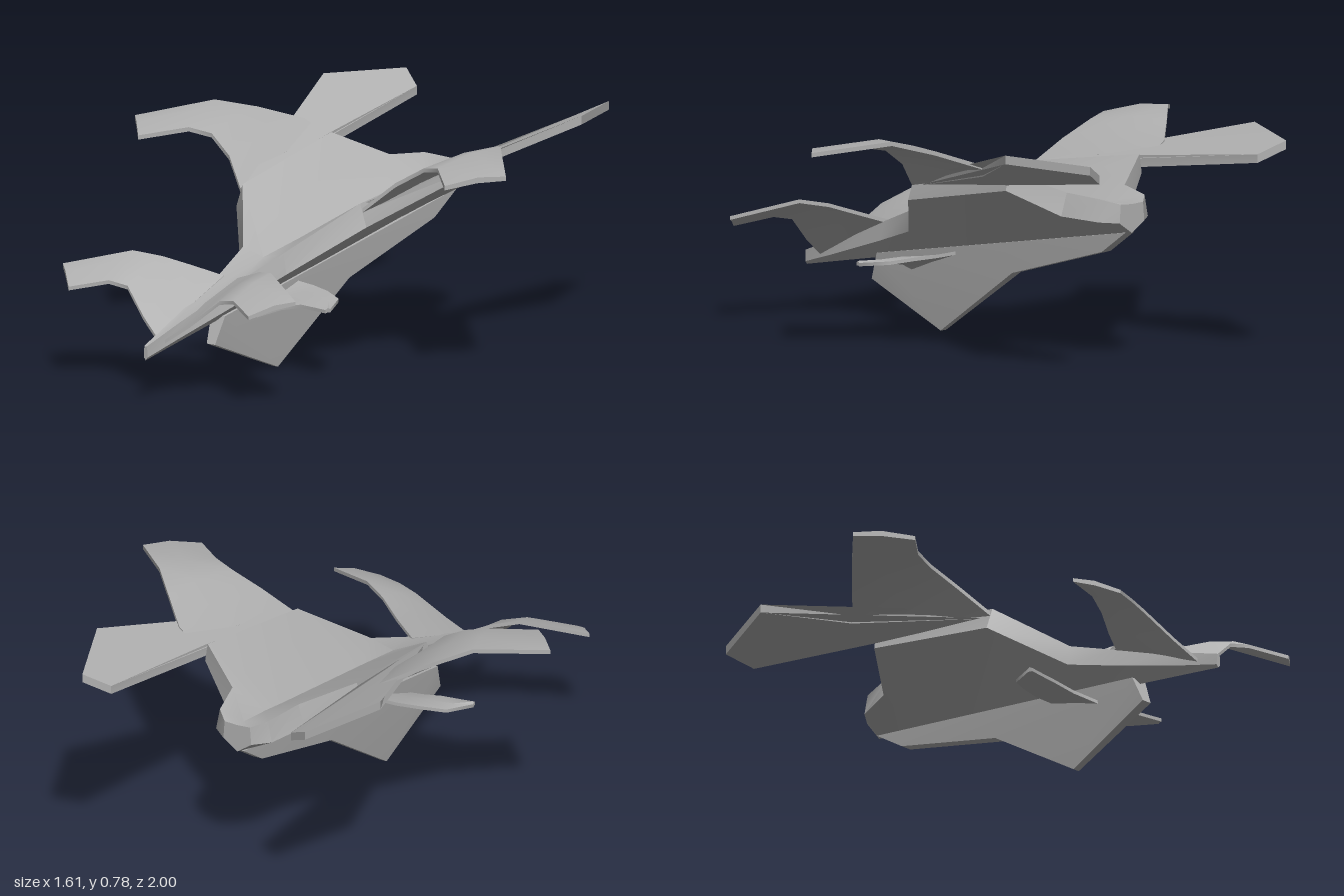
import * as THREE from 'three';
import { toCreasedNormals } from 'three/addons/utils/BufferGeometryUtils.js';

const gray = new THREE.MeshStandardMaterial({ color: 0xb0b0b0 });
gray.name = 'hull gray';

// Skin a row of closed rings of [x, y, z] points, with both ends capped.
function loft(rings, crease = 0.6) {
  const tris = [];
  const n = rings[0].length;
  for (let i = 0; i < rings.length - 1; i++) {
    for (let j = 0; j < n; j++) {
      const k = (j + 1) % n;
      const [a, b, c, d] = [rings[i][j], rings[i][k], rings[i + 1][k], rings[i + 1][j]];
      tris.push([a, b, c], [a, c, d]);
    }
  }
  const last = rings[rings.length - 1];
  for (let j = 1; j < n - 1; j++) {
    tris.push([rings[0][0], rings[0][j + 1], rings[0][j]], [last[0], last[j], last[j + 1]]);
  }
  // Turn the skin outward if the rings run the other way round.
  let volume = 0;
  for (const [a, b, c] of tris) {
    volume += new THREE.Vector3(...a).dot(new THREE.Vector3(...b).cross(new THREE.Vector3(...c)));
  }
  if (volume < 0) tris.forEach(t => t.reverse());
  const geometry = new THREE.BufferGeometry();
  geometry.setAttribute('position', new THREE.Float32BufferAttribute(tris.flat(2), 3));
  return toCreasedNormals(geometry, crease);
}

// Thin wing from [front point, back point] pairs running root to tip.
function wingRings(pairs, side, thickness, bulge) {
  return pairs.map(([f, b]) => {
    const m = f.map((v, i) => v * 0.45 + b[i] * 0.55);
    const up = (p, dy) => [p[0] * side, p[1] + dy, p[2]];
    const t = thickness;
    return [up(f, 0), up(m, bulge), up(b, 0), up(b, -t), up(m, bulge - t * 1.3), up(f, -t)];
  });
}

export function createModel() {
  const model = new THREE.Group();
  const add = (name, geometry) => {
    const mesh = new THREE.Mesh(geometry, gray);
    mesh.name = name;
    model.add(mesh);
  };

  // Body: z, deck centre y, deck edge x y, hull edge x y, keel y
  const stations = [
    [1.0, 0.193, 0.006, 0.195, 0.008, 0.155, 0.145],
    [0.85, 0.245, 0.018, 0.247, 0.024, 0.197, 0.173],
    [0.54, 0.35, 0.05, 0.353, 0.07, 0.288, 0.23],
    [0.35, 0.395, 0.088, 0.42, 0.1, 0.347, 0.266],
    [0.14, 0.43, 0.255, 0.58, 0.282, 0.5, 0.304],
    [-0.4, 0.515, 0.295, 0.665, 0.305, 0.6, 0.404],
    [-0.515, 0.535, 0.13, 0.59, 0.155, 0.51, 0.425],
    [-0.66, 0.555, 0.095, 0.578, 0.11, 0.502, 0.452],
    [-0.705, 0.56, 0.05, 0.563, 0.055, 0.498, 0.46],
  ];
  add('body', loft(stations.map(([z, cy, dx, dy, hx, hy, ky]) => [
    [0, ky, z], [hx, hy, z], [dx, dy, z], [0, cy, z], [-dx, dy, z], [-hx, hy, z],
  ])));

  // Ventral fin: z, y, half width
  const fin = [
    [0.6, 0.235, 0.03], [0.64, 0.14, 0.018], [0.285, 0.003, 0.012],
    [-0.1, 0.25, 0.02], [-0.57, 0.38, 0.02], [-0.695, 0.462, 0.02],
  ];
  add('ventralFin', loft([1, -1].map(s => fin.map(([z, y, w]) => [s * w, y, z]))));

  const mainWing = [
    [[0.265, 0.565, 0.14], [0.35, 0.665, -0.41]],
    [[0.36, 0.655, 0.08], [0.41, 0.7, -0.395]],
    [[0.46, 0.715, 0.05], [0.52, 0.745, -0.28]],
    [[0.54, 0.73, 0.075], [0.62, 0.775, -0.17]],
    [[0.665, 0.705, 0.195], [0.805, 0.73, 0.035]],
  ];
  const foreWing = [
    [[0.01, 0.2, 0.915], [0.03, 0.357, 0.53]],
    [[0.1, 0.265, 0.885], [0.12, 0.388, 0.58]],
    [[0.2, 0.352, 0.845], [0.21, 0.42, 0.64]],
    [[0.27, 0.365, 0.86], [0.3, 0.437, 0.69]],
    [[0.39, 0.338, 0.93], [0.505, 0.385, 0.815]],
  ];
  const lowerFin = [
    [[0.01, 0.205, 0.43], [0.02, 0.29, 0.19]],
    [[0.1, 0.24, 0.38], [0.1, 0.285, 0.2]],
    [[0.18, 0.257, 0.372], [0.18, 0.28, 0.225]],
    [[0.25, 0.257, 0.382], [0.26, 0.27, 0.265]],
    [[0.3, 0.257, 0.39], [0.305, 0.257, 0.37]],
  ];
  // Rear blade: outline of the upper face, front to back and round
  const blade = [
    [0.25, 0.575, 0.14], [0.305, 0.66, -0.4], [0.355, 0.725, -0.95],
    [0.44, 0.77, -1.0], [0.56, 0.785, -0.695], [0.41, 0.69, -0.4],
  ];

  for (const [label, side] of [['left', 1], ['right', -1]]) {
    add(label + 'MainWing', loft(wingRings(mainWing, side, 0.015, 0.012), 0.75));
    add(label + 'ForeWing', loft(wingRings(foreWing, side, 0.013, 0.01), 0.75));
    add(label + 'LowerFin', loft(wingRings(lowerFin, side, 0.012, 0.006), 0.75));
    add(label + 'RearBlade', loft([0, -0.03].map(dy =>
      blade.map(([x, y, z]) => [x * side, y + dy, z]))));
  }
  return model;
}
